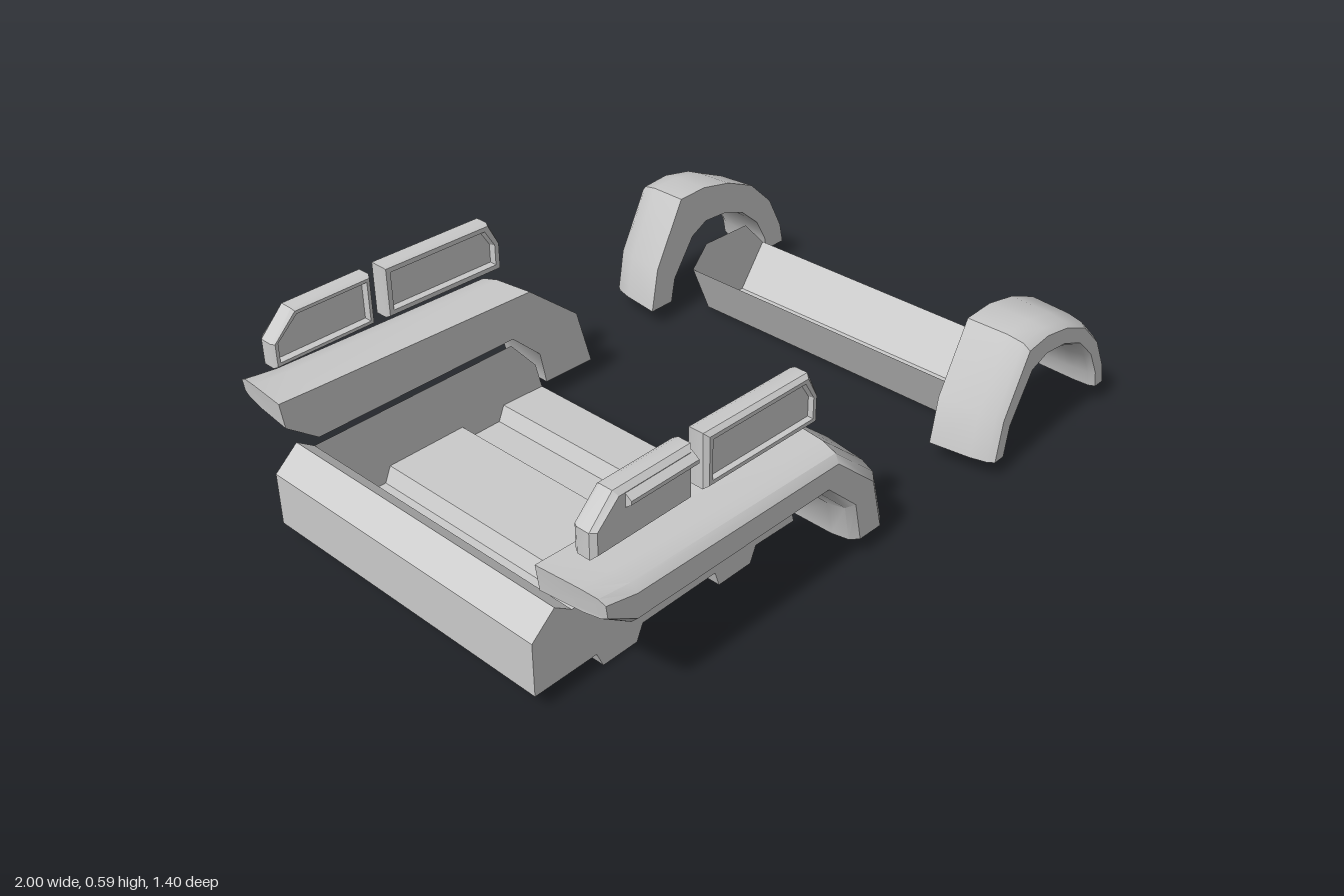
import * as THREE from 'three';
import { toCreasedNormals } from 'three/addons/utils/BufferGeometryUtils.js';

const grey = new THREE.MeshStandardMaterial({ color: 0xcccccc });
const sheet = new THREE.MeshStandardMaterial({ color: 0xcccccc, side: THREE.DoubleSide });

// Skin a row of closed rings (arrays of [x, y, z]) and close both ends
function loft(rings, crease = 0.65) {
  const n = rings[0].length, tris = [];
  for (let i = 0; i < rings.length - 1; i++) {
    for (let j = 0; j < n; j++) {
      const k = (j + 1) % n, a = rings[i], b = rings[i + 1];
      tris.push([a[j], a[k], b[k]], [a[j], b[k], b[j]]);
    }
  }
  const first = rings[0], last = rings[rings.length - 1];
  for (let j = 1; j < n - 1; j++) {
    tris.push([first[0], first[j + 1], first[j]], [last[0], last[j], last[j + 1]]);
  }
  // Turn the faces outward whichever way the rings ran
  let volume = 0;
  for (const [a, b, c] of tris) {
    volume += a[0] * (b[1] * c[2] - b[2] * c[1]) + a[1] * (b[2] * c[0] - b[0] * c[2]) + a[2] * (b[0] * c[1] - b[1] * c[0]);
  }
  if (volume < 0) tris.forEach((t) => t.reverse());
  return creased(tris, crease);
}

function creased(tris, crease) {
  const geometry = new THREE.BufferGeometry();
  geometry.setAttribute('position', new THREE.Float32BufferAttribute(tris.flat(2), 3));
  return toCreasedNormals(geometry, crease);
}

// Curved guard between an outer and an inner edge line, bevelled on the outside
function guard(outer, inner, z0, z1) {
  const depth = z1 - z0;
  const section = [[0, 0, 0], [1, 0, 0], [0.96, 0.65, 0.6], [0.88, 0.9, 0.9], [0.74, 1, 1],
    [0.26, 1, 1], [0.12, 0.9, 0.9], [0.04, 0.65, 0.6]];
  const xs = outer.concat(inner).map((p) => p[0]);
  const cx = (Math.min(...xs) + Math.max(...xs)) / 2;
  const half = Math.max(...xs) - cx;
  return loft(outer.map((o, i) => section.map(([t, dz, taper]) => {
    const x = THREE.MathUtils.lerp(inner[i][0], o[0], t);
    const y = THREE.MathUtils.lerp(inner[i][1], o[1], t);
    return [cx + (x - cx) * (1 - 0.02 * taper / half), y, z0 + depth * dz];
  })));
}

// Door panel: outline carried through z with insets, giving bevels and a recess on both faces
function panel(outline, stations) {
  const box = new THREE.Box2().setFromPoints(outline.map((p) => new THREE.Vector2(...p)));
  const c = box.getCenter(new THREE.Vector2()), s = box.getSize(new THREE.Vector2());
  return loft(stations.map(([z, inset]) => outline.map(([x, y]) => [
    c.x + (x - c.x) * (1 - 2 * inset / s.x),
    c.y + (y - c.y) * (1 - 2 * inset / s.y), z])), 0.5);
}

// Open trough: a wall path drawn along z, with a flat plate at each end
function trough(name, wall, extraRim, halfZ) {
  const group = new THREE.Group();
  group.name = name;
  const tris = [];
  for (let i = 0; i < wall.length - 1; i++) {
    const [a, b] = [wall[i], wall[i + 1]];
    const p = [...a, -halfZ], q = [...b, -halfZ], r = [...b, halfZ], s = [...a, halfZ];
    tris.push([p, q, r], [p, r, s]);
  }
  const shell = new THREE.Mesh(creased(tris, 0.7), sheet);
  shell.name = name + 'Shell';
  group.add(shell);
  const shape = new THREE.Shape(wall.concat(extraRim).map((p) => new THREE.Vector2(...p)));
  for (const side of [1, -1]) {
    const plate = new THREE.Mesh(new THREE.ShapeGeometry(shape), sheet);
    plate.name = name + 'EndPlate';
    plate.position.z = side * halfZ;
    if (side < 0) plate.scale.z = -1;
    group.add(plate);
  }
  return group;
}

export function createModel() {
  const model = new THREE.Group();
  model.name = 'vehicleBodyParts';

  // Floor tub with two lowered channels and a rolled rear wall
  model.add(trough('floorTub', [
    [-0.88, 0.225], [-0.93, 0.26], [-1, 0.2], [-1, 0.05],
    [-0.81, 0.05], [-0.79, 0.005], [-0.68, 0.005], [-0.66, 0.05],
    [-0.41, 0.05], [-0.395, 0.005], [-0.28, 0.005], [-0.26, 0.05], [-0.115, 0.045],
  ], [[-0.135, 0.125], [-0.22, 0.225]], 0.465));

  // Front axle trough
  model.add(trough('axleTrough', [[0.53, 0.16], [0.6, 0], [0.76, 0], [0.855, 0.13]],
    [[0.77, 0.22], [0.59, 0.225]], 0.478));

  const parts = {
    // Long side guard that sweeps down at its front end
    sideGuard: guard(
      [[-0.97, 0.395], [-0.87, 0.391], [-0.15, 0.37], [0.02, 0.23], [0.07, 0.055]],
      [[-0.96, 0.32], [-0.87, 0.25], [-0.22, 0.25], [-0.125, 0.16], [-0.105, 0.06]], 0.455, 0.645),
    // Wheel arch
    wheelArch: guard(
      [[0.39, 0.055], [0.415, 0.19], [0.52, 0.387], [0.62, 0.39], [0.73, 0.367], [0.84, 0.32],
        [0.93, 0.235], [0.985, 0.13], [1, 0.065]],
      [[0.475, 0.055], [0.49, 0.13], [0.57, 0.245], [0.63, 0.275], [0.72, 0.27], [0.8, 0.24],
        [0.87, 0.18], [0.91, 0.11], [0.92, 0.065]], 0.517, 0.7),
    // Door panels
    rearDoorPanel: panel(
      [[-0.92, 0.44], [-0.92, 0.51], [-0.85, 0.582], [-0.613, 0.582], [-0.613, 0.44]],
      [[0.54, 0.02], [0.524, 0.015], [0.524, 0.006], [0.535, 0], [0.572, 0], [0.585, 0.012]]),
    frontDoorPanel: panel(
      [[-0.573, 0.438], [-0.573, 0.586], [-0.22, 0.58], [-0.185, 0.51], [-0.185, 0.43]],
      [[0.54, 0.025], [0.524, 0.02], [0.524, 0.006], [0.535, 0], [0.572, 0], [0.583, 0.01],
        [0.583, 0.021], [0.57, 0.025]]),
    // Ridge-shaped door handle
    doorHandle: loft([-0.825, -0.618].map((x) => [[x, 0.528, 0.58], [x, 0.546, 0.603], [x, 0.556, 0.603], [x, 0.572, 0.58]])),
  };
  for (const side of [1, -1]) {
    const group = new THREE.Group();
    group.name = side > 0 ? 'frontSideParts' : 'backSideParts';
    for (const [name, geometry] of Object.entries(parts)) {
      const mesh = new THREE.Mesh(geometry, grey);
      mesh.name = name;
      group.add(mesh);
    }
    group.scale.z = side;
    model.add(group);
  }
  return model;
}
